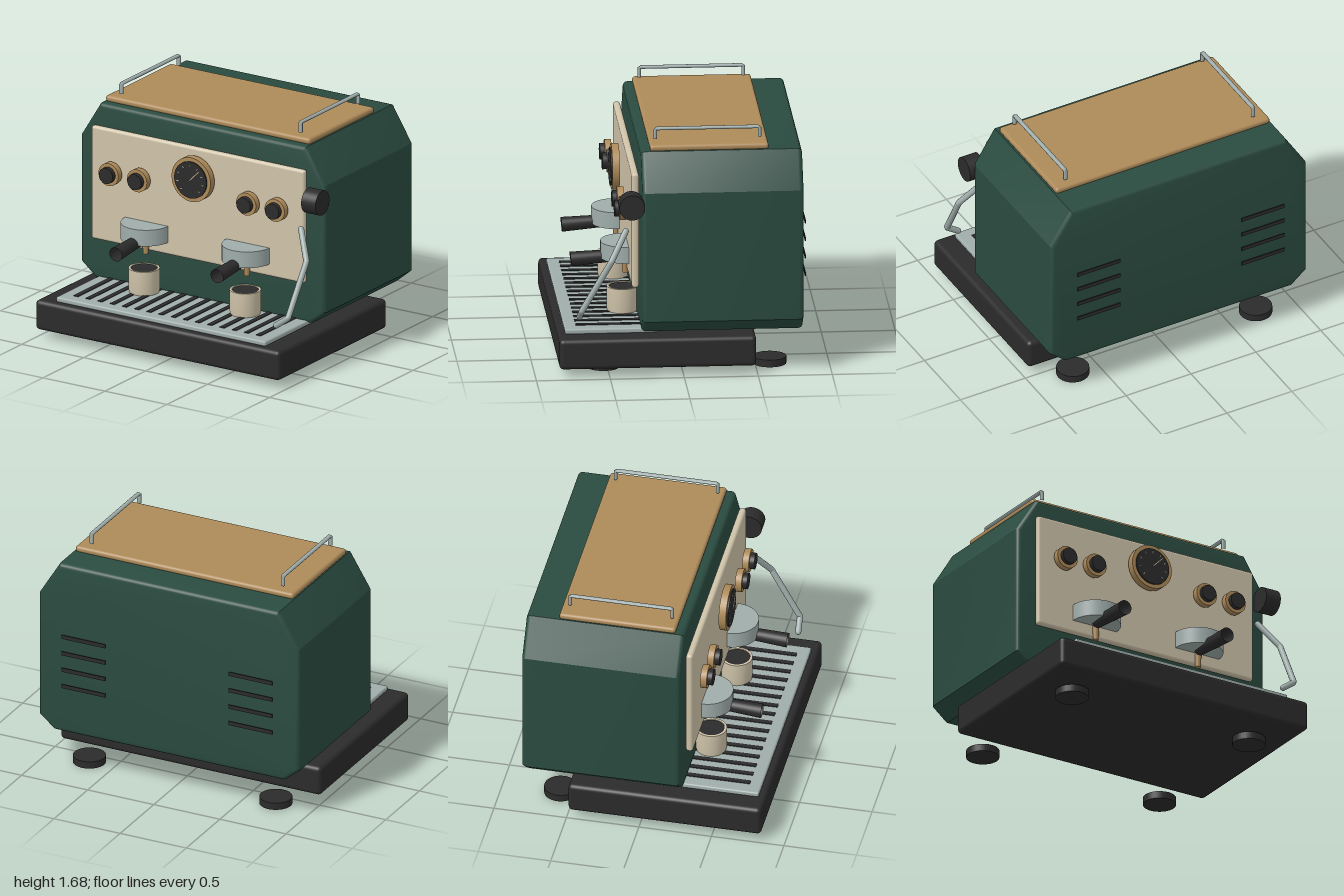
import * as THREE from 'three';
import { toCreasedNormals } from 'three/addons/utils/BufferGeometryUtils.js';
import { RoundedBoxGeometry } from 'three/addons/geometries/RoundedBoxGeometry.js';

const CX = -0.015; // middle of the cabinet, the side knob sticks out beyond it

export function createModel() {
  const model = new THREE.Group();
  model.name = 'espressoMachine';

  const mat = (name, color, side = THREE.FrontSide) => {
    const m = new THREE.MeshStandardMaterial({ color, side });
    m.name = name;
    return m;
  };
  const green = mat('green enamel', 0x2a4b40);
  const cream = mat('cream', 0xd0c4aa);
  const brass = mat('brass', 0xad8a59);
  const steel = mat('steel', 0x9fadab);
  const black = mat('black', 0x2b2b2b, THREE.DoubleSide);

  const add = (name, geo, material, x = 0, y = 0, z = 0, parent = model) => {
    const mesh = new THREE.Mesh(geo, material);
    mesh.name = name;
    mesh.position.set(x, y, z);
    parent.add(mesh);
    return mesh;
  };
  // box given by its limits on each axis
  const block = (name, material, [x0, x1], [y0, y1], [z0, z1], r) =>
    add(name, new RoundedBoxGeometry(x1 - x0, y1 - y0, z1 - z0, 3, r), material,
      (x0 + x1) / 2, (y0 + y1) / 2, (z0 + z1) / 2);
  // disc facing forward, from z0 to z1
  const dial = (name, material, r, x, y, z0, z1) =>
    add(name, new THREE.CylinderGeometry(r, r, z1 - z0, 40).rotateX(Math.PI / 2),
      material, x, y, (z0 + z1) / 2);
  // tube along straight segments with sharp bends
  const pipe = (pts, r) => {
    const path = new THREE.CurvePath();
    const v = pts.map(p => new THREE.Vector3(...p));
    for (let i = 1; i < v.length; i++) path.add(new THREE.LineCurve3(v[i - 1], v[i]));
    return new THREE.TubeGeometry(path, 64, r, 12);
  };

  // cabinet: chamfered outline with a soft bevel
  const outline = [[0.87, 0.29], [0.985, 0.385], [0.985, 1.29], [0.83, 1.54]];
  const shape = new THREE.Shape([
    ...outline.map(([x, y]) => new THREE.Vector2(x, y)),
    ...outline.slice().reverse().map(([x, y]) => new THREE.Vector2(-x, y)),
  ]);
  const bevel = 0.03;
  const bodyGeo = new THREE.ExtrudeGeometry(shape, {
    depth: 1.09 - 2 * bevel, bevelThickness: bevel, bevelSize: bevel,
    bevelOffset: -bevel, bevelSegments: 4,
  });
  add('cabinet', toCreasedNormals(bodyGeo, 0.5), green, CX, 0, -0.81 + bevel);

  // base, feet and drip tray
  block('base', black, [-1, 0.97], [0.06, 0.27], [-0.49, 0.84], 0.03);
  for (const sx of [-0.705, 0.705])
    for (const z of [0.525, -0.6])
      add('foot', new THREE.CylinderGeometry(0.112, 0.112, 0.05, 32), black, CX + sx, 0.025, z);
  block('dripTray', steel, [-0.86, 0.83], [0.27, 0.306], [0.16, 0.795], 0.012);
  for (let i = 0; i < 16; i++)
    add('traySlot', new THREE.BoxGeometry(0.036, 0.008, 0.48), black,
      CX + (i - 7.5) * 0.0983, 0.307, 0.475);

  // front panel, cup shelf and rails
  block('frontPanel', cream, [-0.875, 0.845], [0.59, 1.395], [0.295, 0.343], 0.02);
  block('cupShelf', brass, [-0.842, 0.807], [1.535, 1.58], [-0.585, 0.217], 0.02);
  for (const sx of [-0.723, 0.723]) {
    const rail = add('shelfRail', pipe(
      [[0, 1.6, 0.175], [0, 1.67, 0.175], [0, 1.67, -0.53], [0, 1.6, -0.53]], 0.012), steel, CX + sx);
    rail.scale.x = 1.3;
  }

  // control knobs
  for (const x of [-0.67, -0.44, 0.44, 0.67]) {
    dial('knobRing', brass, 0.08, CX + x, 1.1, 0.37, 0.415);
    dial('knob', black, 0.056, CX + x, 1.1, 0.41, 0.448);
  }

  // pressure gauge with ticks and needle
  const gy = 1.193;
  dial('gaugeBezel', brass, 0.157, CX, gy, 0.37, 0.42);
  dial('gaugeFace', black, 0.13, CX, gy, 0.415, 0.43);
  const gauge = new THREE.Group();
  gauge.name = 'gaugeMarks';
  gauge.position.set(CX, gy, 0.432);
  model.add(gauge);
  for (let i = 0; i < 9; i++) {
    const a = -Math.PI / 4 + i * Math.PI * 1.5 / 8;
    const tick = add('gaugeTick', new THREE.BoxGeometry(0.016, 0.005, 0.004), cream,
      Math.cos(a) * 0.102, Math.sin(a) * 0.102, 0, gauge);
    tick.rotation.z = a;
  }
  const needle = add('gaugeNeedle', new THREE.BoxGeometry(0.11, 0.009, 0.006), cream,
    0.036, 0.036, 0.006, gauge);
  needle.rotation.z = Math.PI / 4;

  // brew groups with handles, spouts and cups
  const handlePath = new THREE.LineCurve3(
    new THREE.Vector3(0, 0.695, 0.37), new THREE.Vector3(0, 0.67, 0.725));
  const dir = handlePath.v2.clone().sub(handlePath.v1);
  for (const sx of [-0.408, 0.408]) {
    const x = CX + sx;
    add('brewHead', new THREE.CylinderGeometry(0.173, 0.173, 0.115, 48), steel, x, 0.737, 0.35);
    const handle = add('filterHandle',
      new THREE.CylinderGeometry(0.05, 0.04, dir.length(), 24, 1, true), black);
    handle.position.copy(handlePath.getPoint(0.5)).setX(x);
    handle.quaternion.setFromUnitVectors(new THREE.Vector3(0, 1, 0), dir.clone().normalize());
    add('spout', new THREE.CylinderGeometry(0.023, 0.019, 0.11, 20), brass, x, 0.627, 0.355);

    const cup = [[0, 0], [0.102, 0], [0.106, 0.02], [0.106, 0.17], [0.09, 0.17], [0.088, 0.155]];
    const cupGeo = new THREE.LatheGeometry(cup.map(p => new THREE.Vector2(...p)), 40);
    add('cup', toCreasedNormals(cupGeo, 0.6), cream, x, 0.308, 0.375);
    add('coffee', new THREE.CylinderGeometry(0.089, 0.089, 0.008, 40), black, x, 0.47, 0.375);
  }

  // steam valve and wand on the model's left
  add('steamKnob', new THREE.CylinderGeometry(0.087, 0.087, 0.115, 40).rotateZ(Math.PI / 2),
    black, 0.9425, 1.2, 0.352);
  const wand = [[0.85, 0.995, 0.385], [0.962, 0.815, 0.49], [0.945, 0.465, 0.69], [0.855, 0.4, 0.697]];
  add('steamWand', pipe(wand, 0.021), steel);
  for (const end of [wand[0], wand[3]])
    add('wandEnd', new THREE.SphereGeometry(0.021, 14, 10), steel, ...end);

  // rear vents
  for (const sx of [-0.632, 0.632])
    for (let i = 0; i < 4; i++)
      add('rearVent', new THREE.BoxGeometry(0.33, 0.028, 0.006), black,
        CX + sx, 0.645 + i * 0.123, -0.834);

  return model;
}
